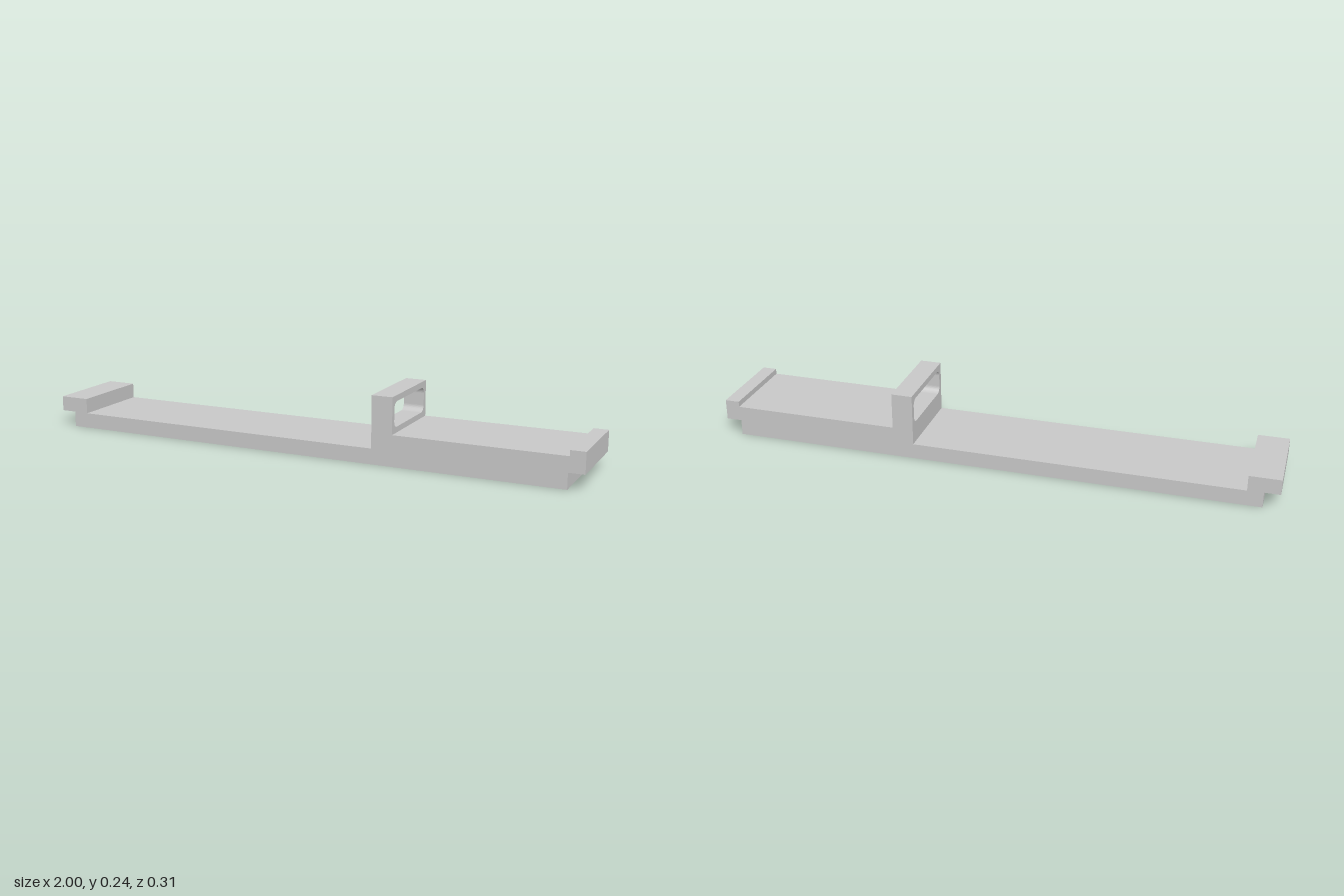
import * as THREE from 'three';

const HALF_DEPTH = 0.154;

// Closed shape from corner points
function polygon(points) {
  return new THREE.Shape(points.map(([x, y]) => new THREE.Vector2(x, y)));
}

// Rounded rectangle path, used for the window opening
function roundedRect(x0, y0, x1, y1, r) {
  const p = new THREE.Path();
  p.absarc(x1 - r, y0 + r, r, -Math.PI / 2, 0, false);
  p.absarc(x1 - r, y1 - r, r, 0, Math.PI / 2, false);
  p.absarc(x0 + r, y1 - r, r, Math.PI / 2, Math.PI, false);
  p.absarc(x0 + r, y0 + r, r, Math.PI, Math.PI * 1.5, false);
  p.closePath();
  return p;
}

export function createModel() {
  const group = new THREE.Group();
  group.name = 'slottedBar';
  const grey = new THREE.MeshStandardMaterial({ color: 0xc7c7c7 });
  grey.name = 'lightGrey';

  // Stepped bar with a hooked block at one end and a raised lip at the other
  const profile = polygon([
    [-0.945, 0], [0.945, 0], [0.945, 0.056], [1, 0.056], [1, 0.13], [0.948, 0.13],
    [0.948, 0.11], [0.275, 0.11], [0.275, 0.055], [-0.89, 0.055],
    [-0.89, 0.11], [-1, 0.11], [-1, 0.056], [-0.945, 0.056],
  ]);
  const barGeometry = new THREE.ExtrudeGeometry(profile, { depth: HALF_DEPTH * 2, bevelEnabled: false });
  barGeometry.translate(0, 0, -HALF_DEPTH);
  const bar = new THREE.Mesh(barGeometry, grey);
  bar.name = 'steppedBar';
  group.add(bar);

  // Upright frame across the bar, with a rounded window through it
  const frameShape = polygon([
    [-HALF_DEPTH, 0.11], [HALF_DEPTH, 0.11], [HALF_DEPTH, 0.239], [-HALF_DEPTH, 0.239],
  ]);
  frameShape.holes.push(roundedRect(-0.136, 0.13, 0.136, 0.218, 0.023));
  const frameGeometry = new THREE.ExtrudeGeometry(frameShape, {
    depth: 0.075, bevelEnabled: false, curveSegments: 8,
  });
  frameGeometry.rotateY(Math.PI / 2);
  frameGeometry.translate(0.275, 0, 0);
  const frame = new THREE.Mesh(frameGeometry, grey);
  frame.name = 'windowFrame';
  group.add(frame);

  return group;
}
